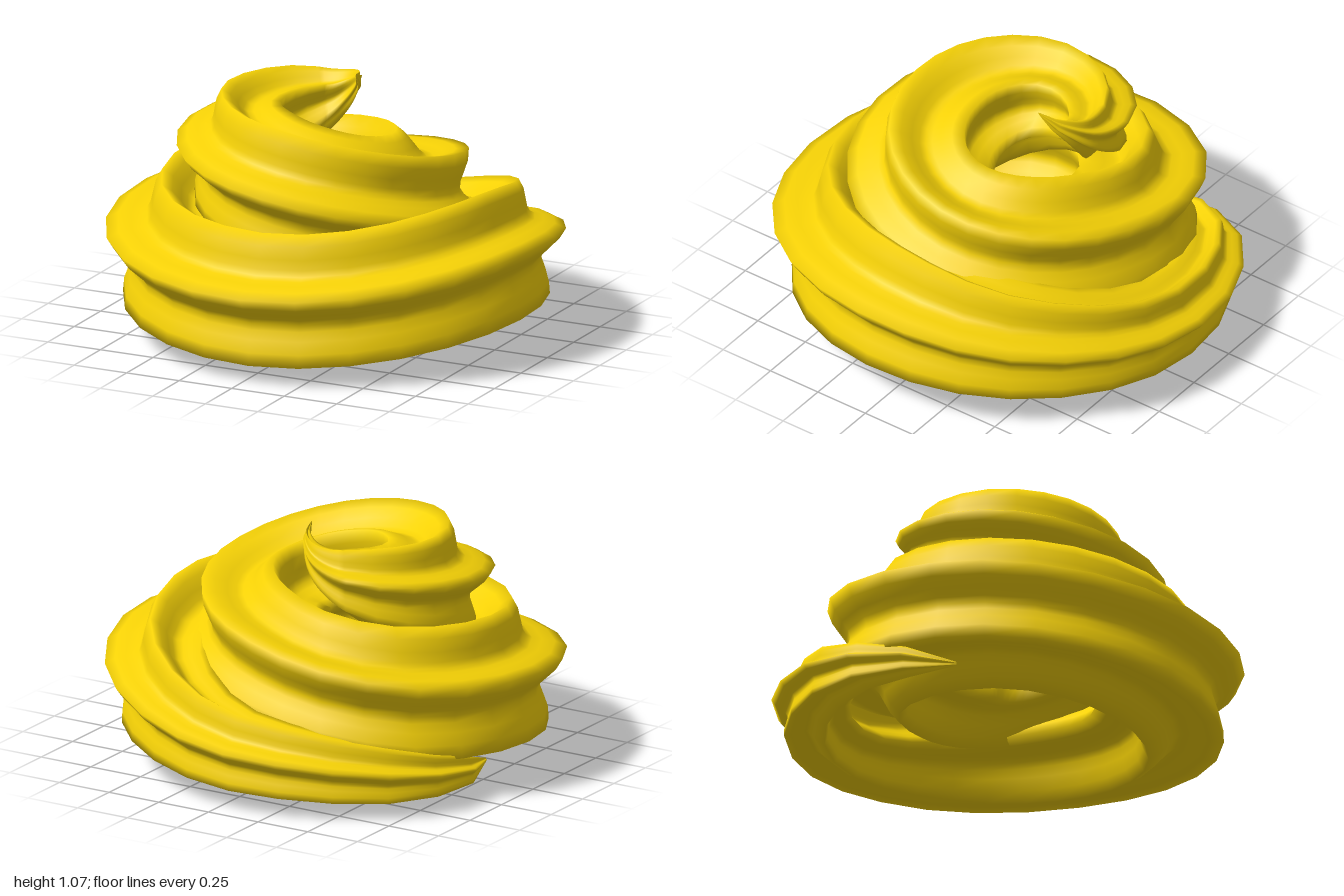
import * as THREE from 'three';

const RIDGES = 6, PER_RIDGE = 8;

// Spiral stations: angle, distance from axis, height, section radius, section tilt (degrees)
const STATIONS = [
  [-178, 0.78, 0.11, 0.008, 12],
  [-166, 0.84, 0.125, 0.06, 12],
  [-155, 0.88, 0.145, 0.09, 12],
  [-140, 0.895, 0.175, 0.13, 12],
  [-125, 0.872, 0.20, 0.155, 12],
  [-109, 0.848, 0.225, 0.175, 12],
  [-90, 0.81, 0.245, 0.195, 12],
  [-45, 0.725, 0.345, 0.265, 14],
  [0, 0.66, 0.395, 0.325, 19],
  [90, 0.68, 0.325, 0.33, 14],
  [180, 0.66, 0.395, 0.33, 19],
  [215, 0.605, 0.425, 0.335, 23],
  [235, 0.53, 0.455, 0.335, 26],
  [270, 0.385, 0.50, 0.34, 32],
  [360, 0.33, 0.59, 0.32, 52],
  [450, 0.367, 0.70, 0.323, 70],
  [500, 0.40, 0.76, 0.295, 73],
  [540, 0.44, 0.81, 0.245, 75],
  [585, 0.40, 0.88, 0.17, 76],
  [600, 0.367, 0.915, 0.125, 76],
  [612, 0.335, 0.965, 0.085, 76],
  [620, 0.29, 1.01, 0.055, 76],
  [626, 0.235, 1.045, 0.03, 76],
  [629, 0.18, 1.08, 0.003, 76],
];

// Star section: narrow, barely rounded ridges between wide smooth valleys
const starRadius = (a) => 1.05 - 0.43 * Math.hypot(Math.sin(RIDGES / 2 * a), 0.12);

function swirlGeometry() {
  const path = new THREE.CubicInterpolant(
    STATIONS.map((s) => s[0]), STATIONS.flatMap((s) => s.slice(1)), 4, new Float32Array(4));
  const first = STATIONS[0][0], last = STATIONS[STATIONS.length - 1][0];

  // Even steps along the coil, finer where the peak curls in
  const angles = [];
  for (let deg = first; deg < last; deg += deg < 585 ? 14 : 3) angles.push(deg);
  angles.push(last);

  const n = RIDGES * PER_RIDGE;
  const positions = [], index = [];
  angles.forEach((deg, i) => {
    const [dist, height, size, tiltDeg] = path.evaluate(deg);
    const turn = THREE.MathUtils.degToRad(deg);
    const tilt = THREE.MathUtils.degToRad(tiltDeg);
    for (let j = 0; j < n; j++) {
      const a = j / n * Math.PI * 2;
      const s = size * starRadius(a);
      const r = dist + s * Math.cos(a + tilt);
      positions.push(r * Math.cos(turn), height + s * Math.sin(a + tilt), r * Math.sin(turn));
      if (i < angles.length - 1) {
        const p = i * n + j, q = i * n + (j + 1) % n;
        index.push(p, q, p + n, q, q + n, p + n);
      }
    }
  });
  const geometry = new THREE.BufferGeometry();
  geometry.setAttribute('position', new THREE.Float32BufferAttribute(positions, 3));
  geometry.setIndex(index);
  geometry.computeVertexNormals();
  return geometry;
}

export function createModel() {
  const group = new THREE.Group();
  group.name = 'whippedSwirl';
  // One ridged strand coiling up from a thin tail to a pointed peak
  const strand = new THREE.Mesh(swirlGeometry(), new THREE.MeshStandardMaterial({ color: 0xf6d206 }));
  strand.name = 'spiralStrand';
  group.add(strand);

  // Stand it on the ground, centred
  const box = new THREE.Box3().setFromObject(group);
  const centre = box.getCenter(new THREE.Vector3());
  strand.position.set(-centre.x, -box.min.y, -centre.z);
  return group;
}
